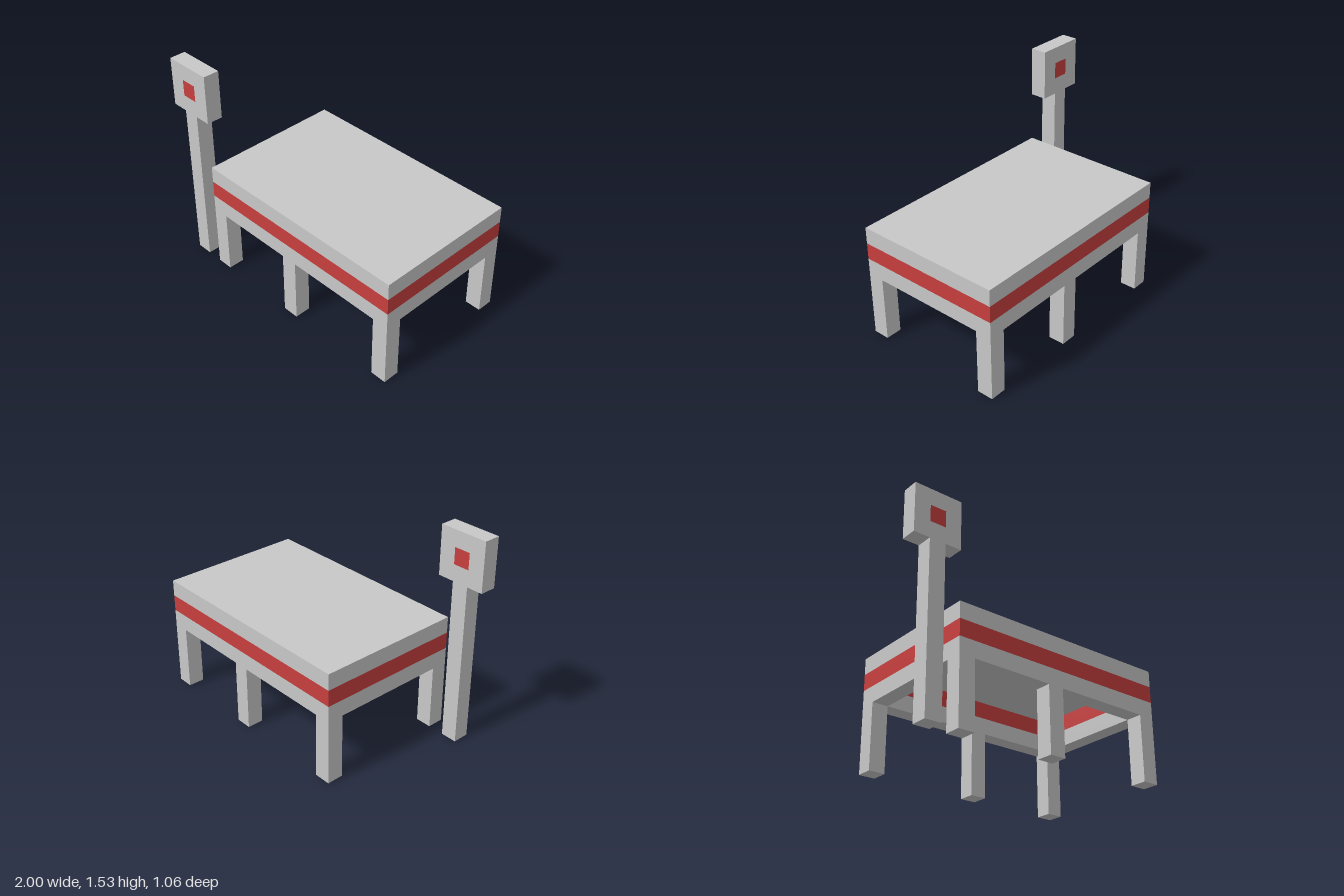
import * as THREE from 'three';

const U = 2 / 17; // one block of the grid the model is built on

const gray = new THREE.MeshStandardMaterial({ color: 0xc8c8c8 });
gray.name = 'light gray';
const red = new THREE.MeshStandardMaterial({ color: 0xc83e3e });
red.name = 'red';

// Box given by its lowest corner and its size, in blocks
function block(name, material, [x, y, z], [w, h, d]) {
  const mesh = new THREE.Mesh(new THREE.BoxGeometry(w * U, h * U, d * U), material);
  mesh.position.set((x + w / 2) * U, (y + h / 2) * U, (z + d / 2) * U);
  mesh.name = name;
  return mesh;
}

// Rectangular frame one block thick, extruded one block along z
function ring(w, h) {
  const rect = (target, a, b) => target
    .moveTo(-a * U, -b * U).lineTo(a * U, -b * U).lineTo(a * U, b * U).lineTo(-a * U, b * U).closePath();
  const shape = rect(new THREE.Shape(), w / 2, h / 2);
  shape.holes.push(rect(new THREE.Path(), w / 2 - 1, h / 2 - 1));
  return new THREE.ExtrudeGeometry(shape, { depth: U, bevelEnabled: false });
}

export function createModel() {
  const model = new THREE.Group();
  model.name = 'shelterAndSign';
  const left = -5.5, back = -4.5, width = 14, depth = 9;

  // Roof slab over a hollow rim with a red band
  const shelter = new THREE.Group();
  shelter.name = 'shelter';
  shelter.add(block('roof', gray, [left, 6, back], [width, 1, depth]));
  [['lowerRim', gray, 4], ['redBand', red, 5]].forEach(([name, material, y]) => {
    const mesh = new THREE.Mesh(ring(width, depth).rotateX(-Math.PI / 2), material);
    mesh.position.set((left + width / 2) * U, y * U, 0);
    mesh.name = name;
    shelter.add(mesh);
  });

  // Corner legs, and middle legs staggered by one block
  const legs = { front: [3.5, [-5.5, 0.5, 7.5]], back: [-4.5, [-5.5, 1.5, 7.5]] };
  for (const [row, [z, xs]] of Object.entries(legs)) {
    xs.forEach((x, i) => shelter.add(block(`${row}Leg${i + 1}`, gray, [x, 0, z], [1, 4, 1])));
  }
  model.add(shelter);

  // Sign on a pole, with a red centre showing on both faces
  const sign = new THREE.Group();
  sign.name = 'sign';
  sign.add(block('pole', gray, [-7.5, 0, 3.5], [1, 10, 1]));
  const board = new THREE.Mesh(ring(3, 3), gray);
  board.position.set(-7 * U, 11.5 * U, 3.5 * U);
  board.name = 'signBoard';
  sign.add(board, block('signCentre', red, [-7.5, 11, 3.5], [1, 1, 1]));
  model.add(sign);

  return model;
}
